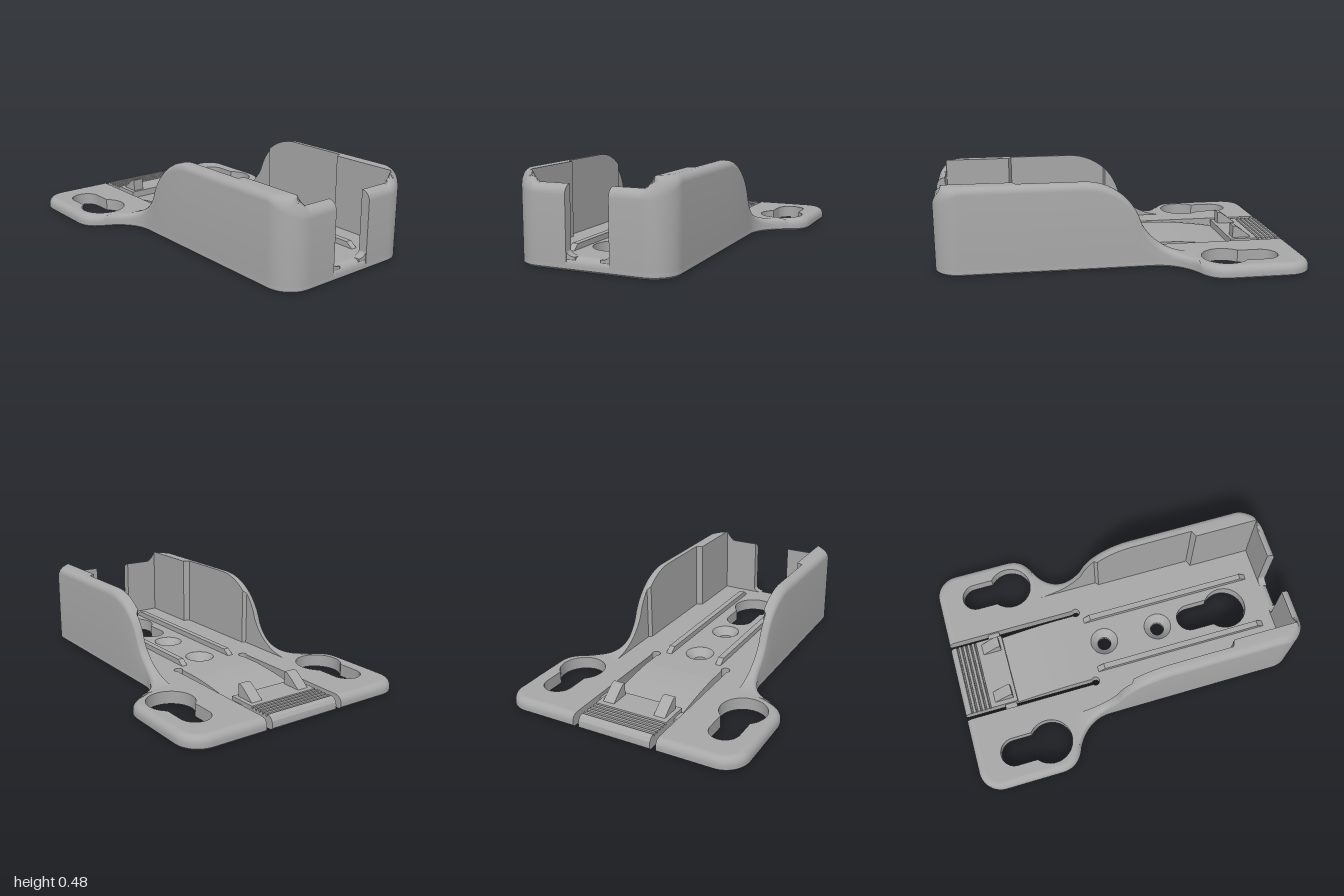
import * as THREE from 'three';
import { toCreasedNormals } from 'three/addons/utils/BufferGeometryUtils.js';

const V = (x, y) => new THREE.Vector2(x, y);
const FLOOR = 0.07;
const { lerp, clamp } = THREE.MathUtils;

// Right half of the plan outline (x, z): back slot -> head -> flare -> side -> front centre
function halfOutline() {
  const p = new THREE.Path();
  p.moveTo(0.245, -1);
  p.lineTo(0.56, -1);
  p.absarc(0.56, -0.87, 0.13, -Math.PI / 2, 0, false);
  p.lineTo(0.69, -0.54);
  p.bezierCurveTo(0.69, -0.46, 0.65, -0.42, 0.59, -0.395);
  p.bezierCurveTo(0.49, -0.35, 0.43, -0.27, 0.43, -0.17);
  p.lineTo(0.43, 0.86);
  p.absarc(0.29, 0.86, 0.14, 0, Math.PI / 2, false);
  p.lineTo(0, 1);
  return p.getSpacedPoints(170);
}

function insetPoints(pts, d) {
  return pts.map((p, i) => {
    const a = pts[Math.max(i - 1, 0)], b = pts[Math.min(i + 1, pts.length - 1)];
    const t = b.clone().sub(a).normalize();
    return V(p.x - t.y * d, p.y + t.x * d);
  });
}

// Skin a list of equal-length rings, with capped ends; mirrored for the other side
function skin(rings, mirror) {
  const n = rings[0].length, pos = rings.flat(2), idx = [];
  if (mirror) for (let i = 0; i < pos.length; i += 3) pos[i] *= -1;
  const tri = (a, b, c) => (mirror ? idx.push(a, c, b) : idx.push(a, b, c));
  for (let i = 0; i < rings.length - 1; i++) {
    for (let j = 0; j < n; j++) {
      const a = i * n + j, b = i * n + (j + 1) % n;
      tri(a, b, a + n);
      tri(b, b + n, a + n);
    }
  }
  const e = (rings.length - 1) * n;
  for (let j = 1; j < n - 1; j++) {
    tri(0, j + 1, j);
    tri(e, e + j, e + j + 1);
  }
  const g = new THREE.BufferGeometry();
  g.setAttribute('position', new THREE.Float32BufferAttribute(pos, 3));
  g.setIndex(idx);
  return toCreasedNormals(g, 0.55);
}

// Cross-section from outer to inner edge with a rounded upper outer corner
function section(outer, inner, y0, h, r) {
  const d = outer.distanceTo(inner);
  const ring = [];
  const add = (p, y) => ring.push([p.x, y, p.y]);
  if (y0 === 0) add(outer.clone().lerp(inner, 0.25), 0);
  add(outer, Math.max(y0, 0.01));
  for (let k = 0; k <= 5; k++) {
    const a = (k / 5) * Math.PI / 2;
    add(outer.clone().lerp(inner, Math.min(0.98, r * (1 - Math.cos(a)) / d)), h - r + r * Math.sin(a));
  }
  add(inner, h);
  add(inner, y0);
  return ring;
}

// Height of the side wall along its length, and of the lower front wall
function wallHeight(x, z) {
  const R = 0.325;
  if (z > 0.9) return lerp(0.42, 0.48, clamp((x - 0.29) / 0.05, 0, 1));
  if (z > 0.2) return 0.48;
  if (z > -0.1) return 0.155 + Math.sqrt(R * R - (z - 0.2) ** 2);
  return 0.395 - Math.sqrt(Math.max(0, R * R - (z + 0.4) ** 2));
}

function wallRing(p) {
  const limit = p.y > 0.56 ? 0.333 : p.y > -0.03 ? 0.37 : 0.388;
  const inner = V(Math.min(p.x, limit), Math.min(p.y, 0.95));
  const h = wallHeight(p.x, p.y);
  const r = p.y > 0.86 ? Math.min(lerp(0.04, 0.11, (p.y - 0.86) / 0.14), h - 0.37) : 0.04;
  return section(p, inner, 0.03, h, r);
}

// Keyhole outline in shape space (y = -z)
function keyhole(x, z, R, neckZ, r) {
  const p = new THREE.Path(), a = Math.asin(r / R);
  p.absarc(x, -z, R, Math.PI / 2 + a, Math.PI * 2.5 - a, false);
  p.absarc(x, -neckZ, r, 0, Math.PI, false);
  p.closePath();
  return p;
}

// Side profile (z, y) extruded across x
function across(points, width, x) {
  const g = new THREE.ExtrudeGeometry(new THREE.Shape(points.map(([z, y]) => V(z, y))),
    { depth: width, bevelEnabled: false });
  g.rotateY(-Math.PI / 2);
  g.translate(x + width / 2, 0, 0);
  return toCreasedNormals(g, 0.4);
}

export function createModel() {
  const group = new THREE.Group();
  const grey = new THREE.MeshStandardMaterial({ color: 0xa8a8a8 });
  grey.name = 'grey plastic';
  const add = (name, geometry) => {
    const m = new THREE.Mesh(geometry, grey);
    m.name = name;
    group.add(m);
    return m;
  };

  const half = halfOutline();
  const inset = insetPoints(half, 0.04);

  // Base plate with slots for the spring clip, keyholes and screw holes
  const slot = [];
  for (let i = 0; i <= 12; i++) {
    const a = lerp(-0.8, Math.PI + 0.8, i / 12);
    slot.push(V(-0.228 - 0.025 * Math.cos(a), -0.205 + 0.025 * Math.sin(a)));
  }
  const leftSlot = [V(-0.245, -0.225), ...slot.slice(1, -1), V(-0.212, -0.225), V(-0.212, -0.33)];
  const flip = (pts) => pts.map((p) => V(-p.x, p.y)).reverse();
  const outline = [...inset, ...flip(inset).slice(1), ...leftSlot, ...flip(leftSlot)];
  const plate = new THREE.Shape(outline.map((p) => V(p.x, -p.y)));
  plate.holes.push(keyhole(0, 0.69, 0.128, 0.465, 0.082));
  for (const s of [-1, 1]) plate.holes.push(keyhole(s * 0.505, -0.555, 0.128, -0.77, 0.082));
  const screws = [-0.085, 0.255];
  for (const z of screws) plate.holes.push(new THREE.Path().absarc(0, -z, 0.082, 0, Math.PI * 2, false));
  const plateGeo = new THREE.ExtrudeGeometry(plate, { depth: FLOOR, bevelEnabled: false, curveSegments: 24 });
  plateGeo.rotateX(-Math.PI / 2);
  add('basePlate', toCreasedNormals(plateGeo, 0.55));

  // Countersunk screw seats
  for (const z of screws) {
    const seat = new THREE.LatheGeometry(
      [V(0.04, 0), V(0.082, 0), V(0.082, FLOOR), V(0.04, 0.025), V(0.04, 0)], 32);
    add('screwSeat', toCreasedNormals(seat, 0.5)).position.z = z;
  }

  // Rounded plate edge and the tall walls, on both sides
  const rim = half.map((p, i) => section(p, inset[i], 0, FLOOR, 0.04));
  const wall = half.filter((p) => p.y > -0.4 && p.x >= 0.118).map(wallRing);
  for (const mirror of [false, true]) {
    const side = mirror ? 'right' : 'left', s = mirror ? -1 : 1;
    add(side + 'PlateEdge', skin(rim, mirror));
    add(side + 'Wall', skin(wall, mirror));

    // Rounded lower corner of the front opening
    const fillet = new THREE.Shape();
    fillet.moveTo(s * 0.13, 0.055);
    fillet.lineTo(s * 0.13, 0.125);
    fillet.lineTo(s * 0.125, 0.125);
    fillet.quadraticCurveTo(s * 0.125, FLOOR, s * 0.07, FLOOR);
    fillet.lineTo(s * 0.07, 0.055);
    const f = new THREE.ExtrudeGeometry(fillet, { depth: 0.045, bevelEnabled: false });
    f.translate(0, 0, 0.95);
    add(side + 'OpeningFillet', f);

    // Floor rail with ramped ends
    add(side + 'FloorRail', across(
      [[-0.17, FLOOR - 0.01], [-0.17, FLOOR], [-0.13, 0.1], [0.84, 0.1], [0.88, FLOOR], [0.88, FLOOR - 0.01]],
      0.034, s * 0.162));

    // Latch tooth and the tab bridging the slot
    add(side + 'LatchTooth', across(
      [[-0.7, 0.05], [-0.7, 0.14], [-0.72, 0.138], [-0.76, 0.11], [-0.81, FLOOR], [-0.81, 0.05]],
      0.066, s * 0.154));
    const tab = add(side + 'SlotTab', new THREE.BoxGeometry(0.05, 0.03, 0.07));
    tab.position.set(s * 0.228, 0.035, -0.725);
  }

  // Spring clip with a dished middle and grip grooves at its tip
  const clip = [[-0.33, 0], [-0.33, FLOOR]];
  for (let i = 1; i <= 10; i++) clip.push([-0.33 - 0.035 * i, FLOOR - 0.04 * (i / 10) ** 1.5]);
  clip.push([-0.68, FLOOR]);
  for (let i = 0; i < 5; i++) {
    const z = -0.84 - 0.027 * i;
    clip.push([z, FLOOR], [z - 0.003, 0.058], [z - 0.009, 0.058], [z - 0.012, FLOOR]);
  }
  clip.push([-0.97, FLOOR], [-0.985, 0.062], [-0.997, 0.046], [-1, 0.03], [-1, 0.01], [-0.99, 0]);
  add('springClip', across(clip, 0.424, 0));

  return group;
}
